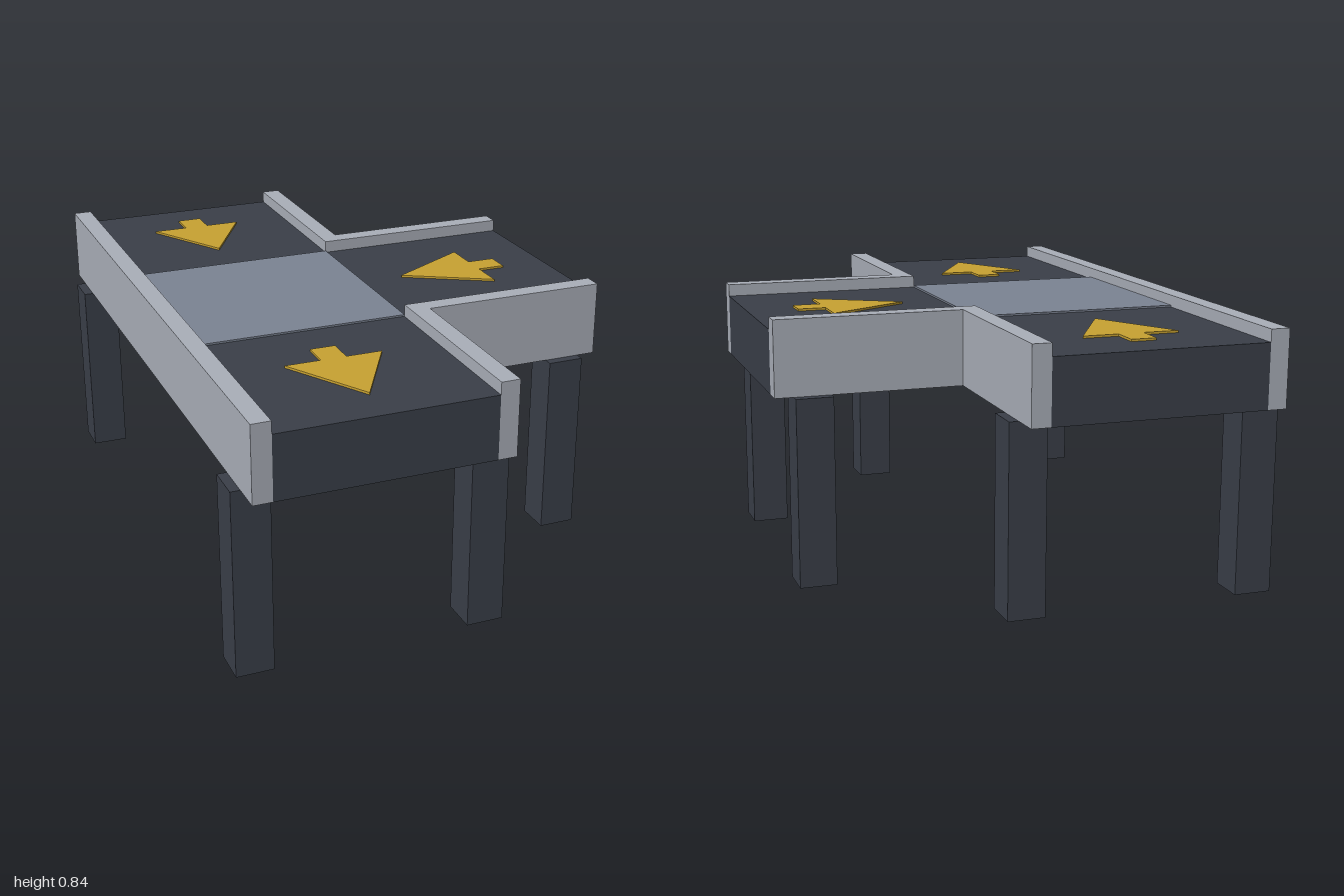
import * as THREE from 'three';

export function createModel() {
  const model = new THREE.Group();
  model.name = 'conveyorJunction';

  const material = (name, color) => {
    const m = new THREE.MeshStandardMaterial({ color });
    m.name = name;
    return m;
  };
  const dark = material('darkBelt', 0x3a3f49);
  const steel = material('paleSteel', 0xaaafb9);
  const slate = material('slatePad', 0x7c8493);
  const gold = material('goldArrow', 0xc9a332);

  // Box given by its minimum and maximum corners
  const box = (name, mat, [x0, y0, z0], [x1, y1, z1]) => {
    const mesh = new THREE.Mesh(new THREE.BoxGeometry(x1 - x0, y1 - y0, z1 - z0), mat);
    mesh.position.set((x0 + x1) / 2, (y0 + y1) / 2, (z0 + z1) / 2);
    mesh.name = name;
    model.add(mesh);
  };

  const bottom = 0.6, beltTop = 0.802, railTop = 0.841;
  const left = -0.625, right = 0.053, end = 0.712, half = 0.339, rail = 0.06;

  // Belt bodies: straight run and side branch
  box('mainBelt', dark, [left, bottom, -1], [right, beltTop, 1]);
  box('branchBelt', dark, [right, bottom, -half], [end, beltTop, half]);

  // Junction pad where the belts meet
  box('junctionPad', slate, [left, beltTop, -half], [right, beltTop + 0.006, half]);

  // Side rails
  box('outerRail', steel, [left - rail, bottom, -1], [left, railTop, 1]);
  for (const s of [-1, 1]) {
    const span = (a, b) => (s > 0 ? [a, b] : [-b, -a]);
    const [m0, m1] = span(half, 1);
    box('innerRail', steel, [right, bottom, m0], [right + rail, railTop, m1]);
    const [b0, b1] = span(half, half + rail);
    box('branchRail', steel, [right + rail, bottom, b0], [end, railTop, b1]);
  }

  // Legs
  const leg = 0.059;
  for (const [x, z] of [[-0.656, 0.841], [0.083, 0.841], [0.594, 0.37]]) {
    for (const s of [-1, 1]) {
      box('leg', dark, [x - leg, 0, s * z - leg], [x + leg, bottom, s * z + leg]);
    }
  }

  // Arrow plates, drawn pointing to +z and turned about y
  const outline = [[0, 0.181], [-0.154, -0.09], [-0.04, -0.09], [-0.04, -0.181],
    [0.04, -0.181], [0.04, -0.09], [0.154, -0.09]];
  const shape = new THREE.Shape(outline.map(([x, z]) => new THREE.Vector2(x, -z)));
  const arrowGeometry = new THREE.ExtrudeGeometry(shape, { depth: 0.007, bevelEnabled: false });
  arrowGeometry.rotateX(-Math.PI / 2);
  for (const [x, z, turn] of [[-0.286, -0.683, 0], [-0.286, 0.68, 0], [0.374, 0, -Math.PI / 2]]) {
    const arrow = new THREE.Mesh(arrowGeometry, gold);
    arrow.position.set(x, beltTop, z);
    arrow.rotation.y = turn;
    arrow.name = 'directionArrow';
    model.add(arrow);
  }

  return model;
}
